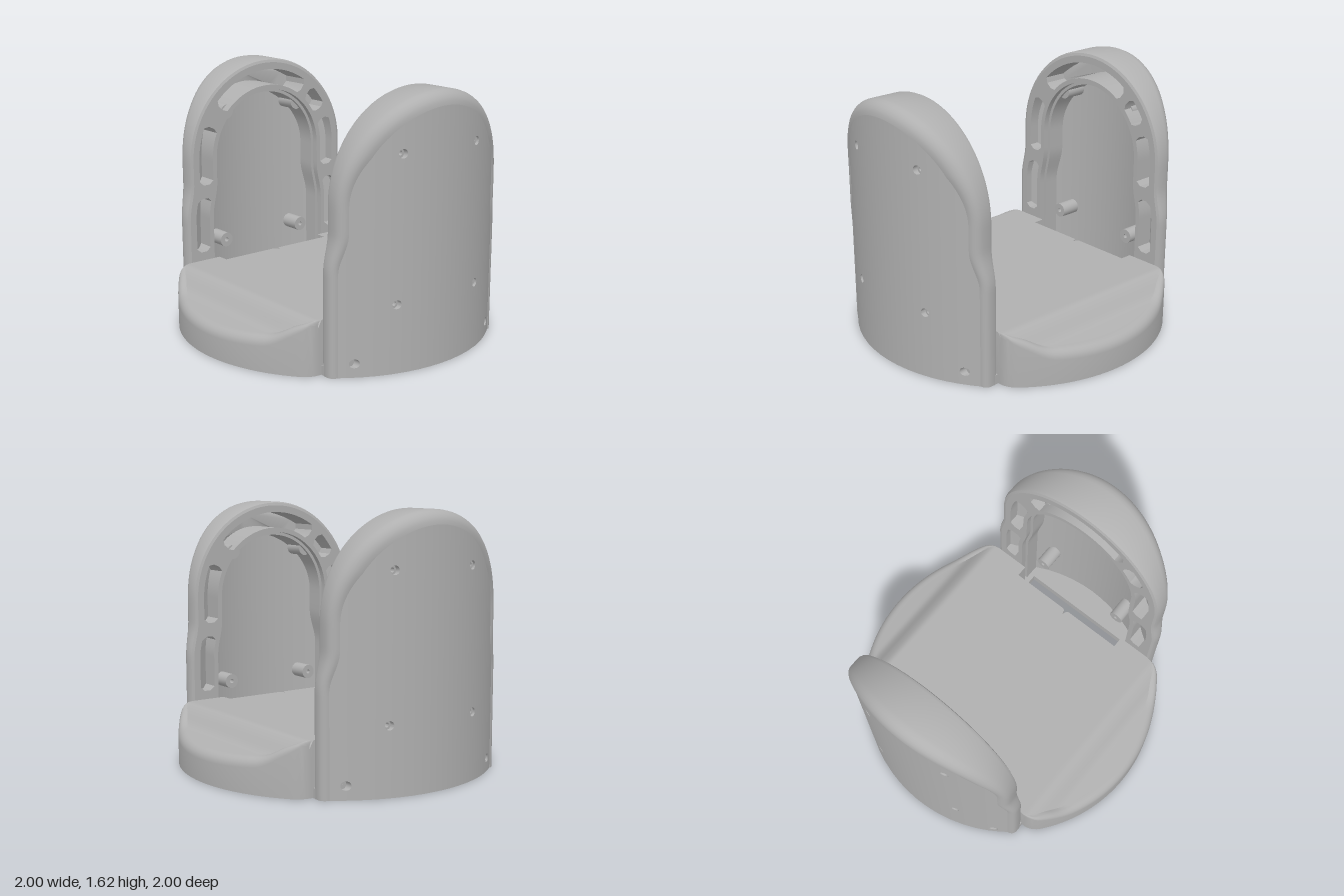
import * as THREE from 'three';
import { mergeGeometries, toCreasedNormals } from 'three/addons/utils/BufferGeometryUtils.js';

const grey = new THREE.MeshStandardMaterial({ color: 0xb0b0b0, side: THREE.DoubleSide });
grey.name = 'plain grey';

const INNER = 0.69; // plane of the panels' open side
const WALL_R = 0.94; // inside radius of the curved wall
const V2 = (x, y) => new THREE.Vector2(x, y);
const polar = (r, a) => V2(r * Math.cos(a), r * Math.sin(a));
const arcZ = (R, x) => Math.sqrt(Math.max(0, R * R - x * x));
const smooth = THREE.MathUtils.smoothstep;
const range = (n, a, b) => Array.from({ length: n + 1 }, (_, i) => a + ((b - a) * i) / n);

function add(group, name, geometry) {
  const mesh = new THREE.Mesh(geometry, grey);
  mesh.name = name;
  group.add(mesh);
}

// Surface through equally long rows of [x, y, z] points
function loft(rows, crease = 0.6) {
  const m = rows[0].length, index = [];
  for (let i = 0; i < rows.length - 1; i++)
    for (let j = 0; j < m - 1; j++) {
      const a = i * m + j, b = a + m;
      index.push(a, b, a + 1, b, b + 1, a + 1);
    }
  const g = new THREE.BufferGeometry();
  g.setAttribute('position', new THREE.Float32BufferAttribute(rows.flat(2), 3));
  g.setIndex(index);
  return toCreasedNormals(g, crease);
}

// Panel outline inset by d: s 0-1 right side, 1-3 round top, 3-4 left side
function outline(s, d) {
  if (s > 1 && s < 3) {
    const p = polar(0.625 - d, ((s - 1) * Math.PI) / 2);
    return V2(p.x, p.y + 1);
  }
  const y = s <= 1 ? s : 4 - s;
  const x = 0.66 - 0.035 * smooth(y, 0.62, 0.85) - d;
  return V2(s <= 1 ? x : -x, y);
}
const S = range(128, 0, 4);
const edgeRadius = (s) =>
  THREE.MathUtils.clamp((arcZ(1, outline(s, 0.03).x) - INNER) * 0.5, 0.025, 0.085);

// Wall bent round the y axis, cut in upright strips, with round holes
function curvedWall(R, inset, holes, holeR) {
  const q = S.map((s) => outline(s, inset(s))), mid = q.length >> 1, max = q[0].x;
  const top = (x) => {
    const ax = Math.abs(x);
    let i = mid;
    while (i > 0 && q[i].x < ax - 1e-9) i--;
    const t = (ax - q[i + 1].x) / (q[i].x - q[i + 1].x);
    return q[i + 1].y + (q[i].y - q[i + 1].y) * t;
  };
  const half = [0.085, 0.17, 0.255, 0.35, 0.43, 0.505, 0.575].filter((x) => x < max - 0.002).concat(max);
  const xs = [...half.map((x) => -x).reverse(), 0, ...half];
  const strips = [];
  for (let k = 0; k < xs.length - 1; k++) {
    const [a, b] = [xs[k], xs[k + 1]];
    const between = q.filter((p) => p.x > a + 1e-6 && p.x < b - 1e-6);
    const shape = new THREE.Shape([V2(a, 0), V2(b, 0), V2(b, top(b)), ...between, V2(a, top(a))]);
    for (const [x, y] of holes)
      if (x > a && x < b) shape.holes.push(new THREE.Path().absarc(x, y, holeR, 0, Math.PI * 2, true));
    const g = new THREE.ShapeGeometry(shape, 10);
    const p = g.attributes.position, n = g.attributes.normal;
    for (let i = 0; i < p.count; i++) {
      const x = p.getX(i), z = arcZ(R, x);
      p.setZ(i, z);
      n.setXYZ(i, x / R, 0, z / R);
    }
    strips.push(g);
  }
  return mergeGeometries(strips);
}

const pair = (x, y) => [[x, y], [-x, y]];
const TOP = pair(0.29, 1.295), MIDDLE = pair(0.315, 0.42), LOW = pair(0.54, 0.085);

// Recessed screw hole whose mouth follows the curved wall
function screwHole(x, y, through) {
  const z = arcZ(1, x), back = arcZ(WALL_R, x);
  const profile = through
    ? [[0.027, z], [0.027, z - 0.025], [0.014, z - 0.025], [0.014, 0.75], [0.048, 0.75], [0.048, back]]
    : [[0.027, z], [0.027, z - 0.035], [0.001, z - 0.035]];
  const g = new THREE.LatheGeometry(profile.map(([r, h]) => V2(r, h)), 20).rotateX(Math.PI / 2).translate(x, y, 0);
  const p = g.attributes.position;
  for (let i = 0; i < p.count; i++)
    if (Math.abs(p.getZ(i) - z) < 1e-4) p.setZ(i, arcZ(1, p.getX(i)));
  return toCreasedNormals(g, 0.6);
}

function createPanel(name) {
  const panel = new THREE.Group();
  panel.name = name;
  add(panel, 'outerWall', curvedWall(1, edgeRadius, [...TOP, ...MIDDLE, ...LOW], 0.027));

  // Rounded outer edge
  add(panel, 'roundedEdge', loft(S.map((s) => {
    const r = edgeRadius(s), z = arcZ(1, outline(s, r).x);
    const section = range(6, 0, Math.PI / 2).map((a) => [r * (1 - Math.sin(a)), z - r * (1 - Math.cos(a))]);
    section.push([0, INNER + 0.025], [0.008, INNER + 0.007], [0.025, INNER]);
    return section.map(([d, h]) => [...outline(s, d).toArray(), h]);
  })));

  // Stepped cavity and its back wall
  add(panel, 'cavitySides', loft(S.map((s) => {
    const back = arcZ(WALL_R, outline(s, 0.225).x);
    return [[0.205, INNER], [0.205, 0.73], [0.225, 0.73], [0.225, back]]
      .map(([d, h]) => [...outline(s, d).toArray(), h]);
  })));
  add(panel, 'cavityBack', curvedWall(WALL_R, () => 0.225, MIDDLE, 0.014));

  // Flat rim with a ring of weight-saving pockets
  const rim = new THREE.Shape([
    ...S.map((s) => outline(s, 0.025)), ...S.map((s) => outline(s, 0.205)).reverse()]);
  const slots = [[0.09, 0.31], [0.39, 0.75], [0.84, 1.28], [1.46, 2.4], [2.48, 2.68], [2.78, 3.16], [3.25, 3.61], [3.69, 3.91]];
  for (const [a, b] of slots) {
    const e = 0.025;
    const loop = [
      outline(a, 0.1), ...range(16, a + e, b - e).map((s) => outline(s, 0.07)), outline(b, 0.1),
      outline(b, 0.145), ...range(16, b - e, a + e).map((s) => outline(s, 0.175)), outline(a, 0.145)];
    rim.holes.push(new THREE.Path(loop));
    add(panel, 'rimPocketSides', loft([...loop, loop[0]].map((p) =>
      [[p.x, p.y, INNER], [p.x, p.y, arcZ(WALL_R, p.x)]])));
    const floor = new THREE.ShapeGeometry(new THREE.Shape(loop));
    const pos = floor.attributes.position;
    for (let i = 0; i < pos.count; i++) pos.setZ(i, arcZ(WALL_R, pos.getX(i)));
    floor.computeVertexNormals();
    add(panel, 'rimPocketFloor', floor);
  }
  add(panel, 'rim', new THREE.ShapeGeometry(rim).translate(0, 0, INNER));

  // Foot slab, notched on the open side
  const foot = new THREE.Shape([
    V2(-0.658, INNER), V2(-0.4, INNER), V2(-0.4, 0.77), V2(0.4, 0.77), V2(0.4, INNER), V2(0.658, INNER),
    ...range(24, 0.658, -0.658).map((x) => V2(x, arcZ(0.998, x)))]);
  add(panel, 'foot', new THREE.ExtrudeGeometry(foot, { depth: 0.06, bevelEnabled: false })
    .rotateX(Math.PI / 2).translate(0, 0.06, 0));

  for (const [x, y] of [...TOP, ...MIDDLE]) add(panel, 'screwPost', screwHole(x, y, true));
  for (const [x, y] of LOW) add(panel, 'footScrewHole', screwHole(x, y, false));
  return panel;
}

// Base: height over x, and outer edge over z with rounded corners
const END = 0.685, GAP = 0.42, HUB = 0.6;
const height = (x) => 0.335 - 0.095 * smooth(x, 0.68, 0.84) - 0.05 * THREE.MathUtils.clamp((x - 0.76) / 0.24, 0, 1);
function edgeX(z) {
  const t = Math.max(0, (Math.abs(z) - END + 0.05) / 0.05);
  return arcZ(1, z) - 0.05 * (1 - Math.sqrt(Math.max(0, 1 - t * t)));
}
const zRows = range(48, -1, 1).map((t) => END * Math.sin((t * Math.PI) / 2));
const arc = (R, a, b, n) => range(n, a, b).map((t) => polar(R, t));
const hubAngle = Math.acos(GAP / HUB);

function createWing(name) {
  const wing = new THREE.Group();
  wing.name = name;
  // Sloping top with a filleted edge
  add(wing, 'wingTop', loft(zRows.map((z) => {
    const xe = edgeX(z), r = 0.03 + 0.035 * smooth(xe, 0.7, 0.85), x0 = xe - r;
    const row = [[GAP, height(GAP), z], ...range(20, 0.6, x0).map((x) => [x, height(x), z])];
    for (const a of range(6, 0, Math.PI / 2).slice(1))
      row.push([x0 + r * Math.sin(a), height(x0) - r * (1 - Math.cos(a)), z]);
    row.push([xe, 0, z]);
    return row;
  })));

  // Body with two arched pockets open below and a round bay for the hub
  const body = new THREE.Shape([
    V2(GAP, -END), V2(0.6, -END), V2(0.655, -END),
    ...zRows.map((z) => V2(edgeX(z) - 0.002, z)),
    V2(0.655, END), V2(0.6, END), V2(GAP, END), ...arc(HUB, hubAngle, -hubAngle, 24)]);
  const [a, b, e] = [0.1, 0.7, 0.06];
  const pocket = [
    ...arc(0.9, a + e, b - e, 12), polar(0.86, b), polar(0.74, b),
    ...arc(0.69, b - e, a + e, 12), polar(0.74, a), polar(0.86, a)];
  for (const side of [1, -1]) body.holes.push(new THREE.Path(pocket.map((p) => V2(p.x, p.y * side))));
  const g = new THREE.ExtrudeGeometry(body, { depth: 0.33, bevelEnabled: false }).rotateX(-Math.PI / 2);
  const p = g.attributes.position;
  for (let i = 0; i < p.count; i++)
    if (p.getY(i) > 0.1) {
      const x = p.getX(i);
      p.setY(i, x < 0.66 ? 0.334 : height(x) - 0.07);
    }
  add(wing, 'wingBody', toCreasedNormals(g, 0.5));

  // Ledge round the hub bay
  const ledgeA = Math.acos(GAP / 0.56);
  const ledge = new THREE.LatheGeometry([V2(0.6, 0.14), V2(0.56, 0.14), V2(0.56, 0.29)], 24, Math.PI / 2 - ledgeA, 2 * ledgeA);
  add(wing, 'hubLedge', toCreasedNormals(ledge, 0.5));
  return wing;
}

// Deck plate with small V notches, bulging into the hub bays
function deckGeometry() {
  const edge = [[-GAP, -0.61], [-0.022, -0.61], [-0.008, -0.6], [0, -0.575], [0.008, -0.6], [0.022, -0.61], [GAP, -0.61]];
  const half = [...edge.map(([x, y]) => V2(x, y)), ...arc(HUB, -hubAngle, hubAngle, 24)];
  const shape = new THREE.Shape([...half, ...half.map((p) => V2(-p.x, -p.y))]);
  return new THREE.ExtrudeGeometry(shape, { depth: 0.049, bevelEnabled: false })
    .rotateX(-Math.PI / 2).translate(0, 0.285, 0);
}

export function createModel() {
  const model = new THREE.Group();
  model.name = 'roundHousing';
  const back = createPanel('backPanel'), right = createWing('rightWing');
  back.rotation.y = right.rotation.y = Math.PI;
  model.add(createPanel('frontPanel'), back, createWing('leftWing'), right);
  add(model, 'deck', deckGeometry());
  return model;
}
